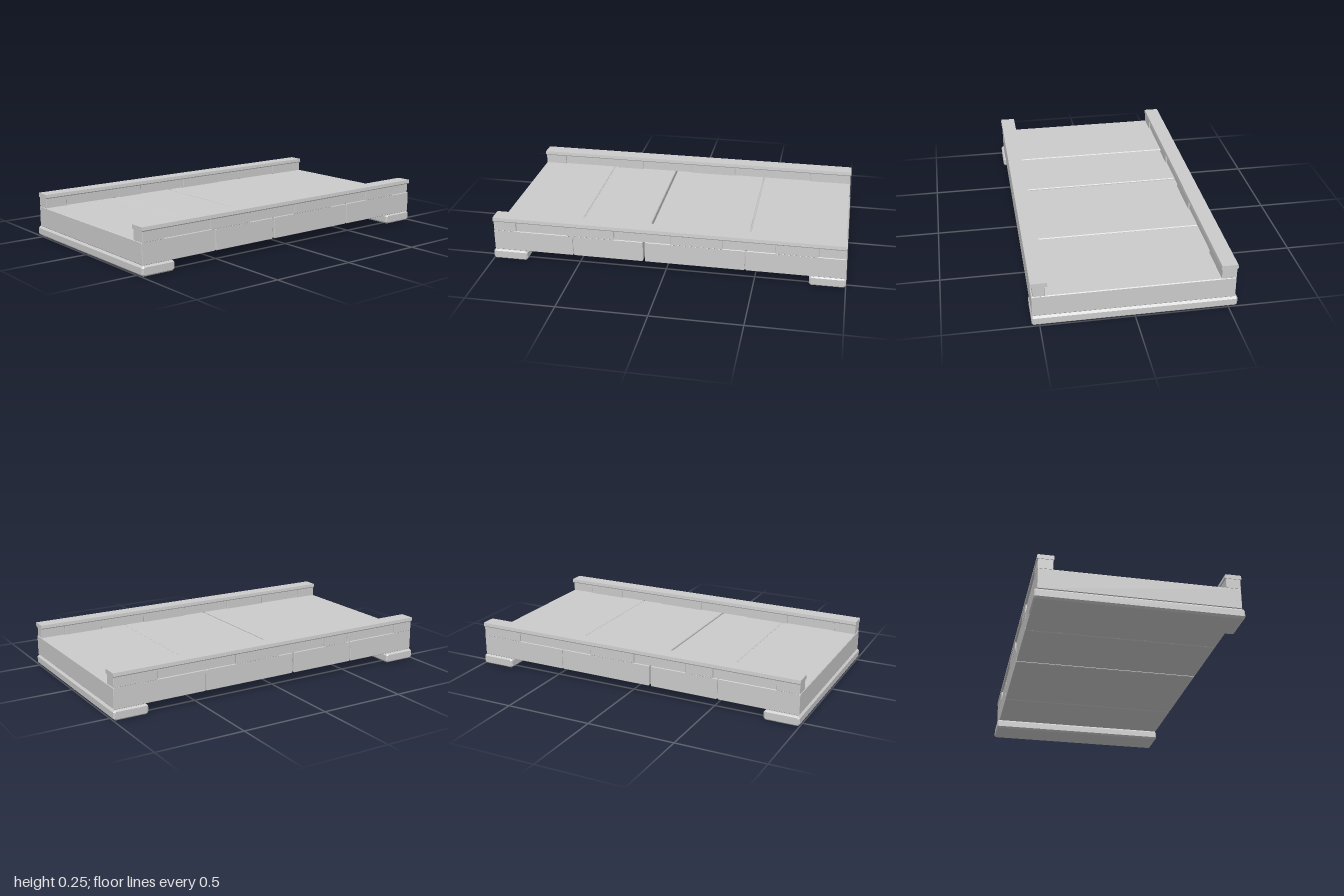
import * as THREE from 'three';

const material = new THREE.MeshStandardMaterial({ color: 0xcccccc, flatShading: true });

// Stone block between two corners; edges cut by c in the XY section, ends tapered by endCut in z.
function stone(name, [x0, x1], [y0, y1], [z0, z1], c, endCut = 0) {
  const shape = new THREE.Shape();
  const a = x0 + endCut, b = x1 - endCut, d = y0 + endCut, e = y1 - endCut;
  shape.moveTo(a + c, d);
  [[b - c, d], [b, d + c], [b, e - c], [b - c, e], [a + c, e], [a, e - c], [a, d + c]]
    .forEach(([x, y]) => shape.lineTo(x, y));
  shape.closePath();
  const geometry = new THREE.ExtrudeGeometry(shape, {
    depth: z1 - z0 - 2 * endCut,
    bevelEnabled: endCut > 0, bevelThickness: endCut, bevelSize: endCut, bevelSegments: 1,
  });
  geometry.translate(0, 0, z0 + endCut);
  const mesh = new THREE.Mesh(geometry, material);
  mesh.name = name;
  return mesh;
}

// Long coping stone: a chamfered section run along x.
function coping() {
  const shape = new THREE.Shape();
  [[-0.045, 0.236], [-0.042, 0.231], [0.042, 0.231], [0.045, 0.236], [0.043, 0.255], [-0.043, 0.255]]
    .forEach(([z, y], i) => (i ? shape.lineTo(-z, y) : shape.moveTo(-z, y)));
  const geometry = new THREE.ExtrudeGeometry(shape, { depth: 1.986, bevelEnabled: false });
  geometry.translate(0, 0, -0.993).rotateY(Math.PI / 2);
  const mesh = new THREE.Mesh(geometry, material);
  mesh.name = 'coping';
  return mesh;
}

// Parapet centred on z = 0 with its outer face towards +z.
function parapet(name, joints) {
  const group = new THREE.Group();
  group.name = name;
  group.add(coping());
  for (let i = 0; i < joints.length - 1; i++) {
    // Alternate stones are set back from both faces
    const inset = i % 2 ? 0.008 : 0;
    group.add(stone('parapetStone', [joints[i], joints[i + 1]], [0.174, 0.233],
      [-0.04 + inset, 0.04 - inset], 0.001, 0.002));
  }
  return group;
}

export function createModel() {
  const model = new THREE.Group();

  // Deck slabs, with one open joint
  [[-0.992, -0.53], [-0.526, -0.126], [-0.115, 0.446], [0.45, 0.992]].forEach((span) =>
    model.add(stone('deckSlab', span, [0.056, 0.176], [-0.537, 0.537], 0.003, 0.002)));

  // Narrow mortar behind the closed joints
  [-0.528, 0.448].forEach((x) =>
    model.add(stone('mortar', [x - 0.004, x + 0.004], [0.062, 0.171], [-0.531, 0.531], 0)));

  // Bearing beams under both ends
  model.add(stone('leftFoot', [0.8, 1], [0, 0.056], [-0.55, 0.54], 0.006, 0.008));
  model.add(stone('rightFoot', [-1, -0.8], [0, 0.056], [-0.553, 0.55], 0.006, 0.008));

  // Parapets on both long sides
  const front = parapet('frontParapet', [-0.99, -0.86, -0.56, -0.29, 0.03, 0.32, 0.61, 0.845, 0.99]);
  front.position.z = 0.498;
  const back = parapet('backParapet', [-0.99, -0.86, -0.5, -0.34, -0.02, 0.26, 0.74, 0.99]);
  back.position.z = -0.498;
  model.add(front, back);

  return model;
}
